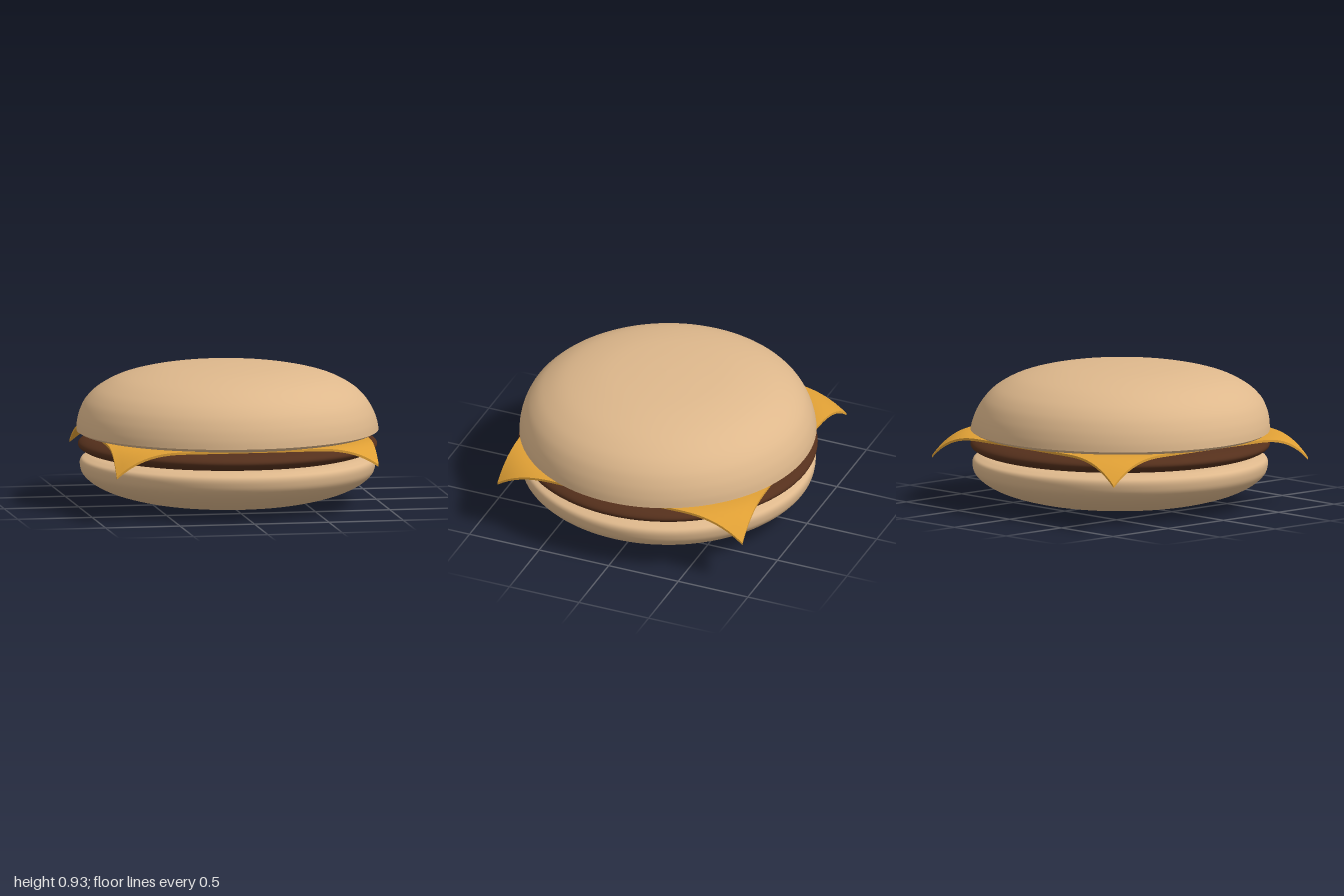
import * as THREE from 'three';

const bunMaterial = new THREE.MeshStandardMaterial({ color: 0xdeb88c });
const pattyMaterial = new THREE.MeshStandardMaterial({ color: 0x55301c });
const cheeseMaterial = new THREE.MeshStandardMaterial({ color: 0xe0a035 });

// Smooth lathe through a few [radius, height] points, listed from bottom to top
function turned(name, profile, material) {
  const curve = new THREE.SplineCurve(profile.map(([r, y]) => new THREE.Vector2(r, y)));
  const points = curve.getPoints(48).map((p) => new THREE.Vector2(Math.max(0, p.x), p.y));
  const mesh = new THREE.Mesh(new THREE.LatheGeometry(points, 96), material);
  mesh.name = name;
  return mesh;
}

// Upper bun: dome and underside meet in a crisp rim; the dome leans very slightly
function createTopBun() {
  const group = new THREE.Group();
  group.name = 'topBun';
  const dome = turned('topBunDome', [
    [1, 0.5], [0.992, 0.56], [0.968, 0.635], [0.92, 0.715], [0.835, 0.79],
    [0.69, 0.86], [0.47, 0.91], [0.22, 0.932], [0, 0.938],
  ], bunMaterial);
  const pos = dome.geometry.attributes.position;
  for (let i = 0; i < pos.count; i++) {
    const lean = 0.015 * Math.min(1, (pos.getY(i) - 0.5) / 0.2);
    pos.setX(i, pos.getX(i) - lean);
    pos.setZ(i, pos.getZ(i) + lean);
  }
  const underside = turned('topBunUnderside', [
    [0, 0.455], [0.4, 0.456], [0.75, 0.459], [0.88, 0.466], [0.96, 0.48], [1, 0.5],
  ], bunMaterial);
  group.add(dome, underside);
  group.scale.z = 0.98;
  return group;
}

// Square slice that lies flat and droops towards its four corners
function createCheese() {
  const geometry = new THREE.BoxGeometry(2, 0.016, 2, 40, 1, 40);
  const pos = geometry.attributes.position;
  for (let i = 0; i < pos.count; i++) {
    const u = pos.getX(i), v = pos.getZ(i);
    const t = Math.max(0, (Math.hypot(u, v) * 0.88 - 0.98) / 0.265) ** 2.2;
    // the corner on the +x +z side hangs a little less
    const drop = u > 0 && v > 0 ? 0.118 : 0.157;
    // edges bow outwards on the negative sides and inwards on the positive ones
    const bow = -0.02 * u * u * v * v;
    pos.setXYZ(i, u * 0.88 + bow, 0.47 + pos.getY(i) - drop * t, v * 0.88 + bow);
  }
  geometry.computeVertexNormals();
  const cheese = new THREE.Mesh(geometry, cheeseMaterial);
  cheese.name = 'cheeseSlice';
  return cheese;
}

export function createModel() {
  const model = new THREE.Group();
  model.name = 'cheeseburger';

  const bottomBun = turned('bottomBun', [
    [0, 0.005], [0.3, 0.012], [0.55, 0.037], [0.75, 0.085], [0.88, 0.142],
    [0.955, 0.205], [0.976, 0.26], [0.972, 0.302], [0.94, 0.322], [0.86, 0.338],
    [0.6, 0.343], [0, 0.343],
  ], bunMaterial);

  const patty = turned('patty', [
    [0, 0.337], [0.45, 0.337], [0.8, 0.339], [0.91, 0.353], [0.97, 0.377], [0.99, 0.404],
    [0.97, 0.431], [0.91, 0.453], [0.8, 0.465], [0.45, 0.467], [0, 0.467],
  ], pattyMaterial);

  model.add(bottomBun, patty, createCheese(), createTopBun());
  return model;
}
